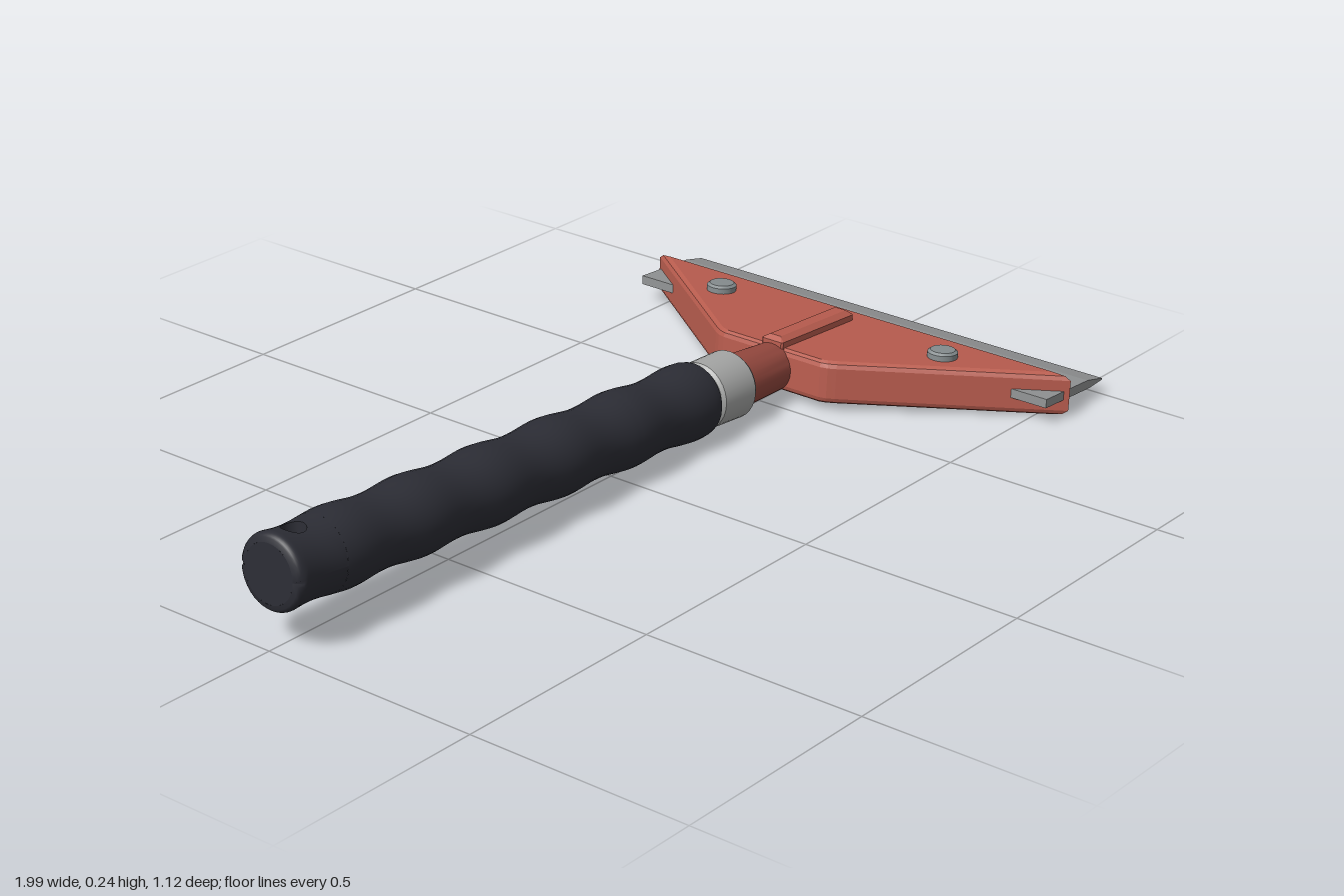
import * as THREE from 'three';
import { ConvexGeometry } from 'three/addons/geometries/ConvexGeometry.js';
import { toCreasedNormals } from 'three/addons/utils/BufferGeometryUtils.js';

const material = (name, color, side = THREE.FrontSide) => {
  const m = new THREE.MeshStandardMaterial({ color, side });
  m.name = name;
  return m;
};

// Grid surface; the outside is along dP/du x dP/dv
function surface(fn, nu, nv) {
  const pos = [], idx = [];
  for (let i = 0; i <= nu; i++)
    for (let j = 0; j <= nv; j++) pos.push(...fn(i / nu, j / nv));
  for (let i = 0; i < nu; i++)
    for (let j = 0; j < nv; j++) {
      const a = i * (nv + 1) + j, b = a + nv + 1;
      idx.push(a, b, b + 1, a, b + 1, a + 1);
    }
  const g = new THREE.BufferGeometry();
  g.setAttribute('position', new THREE.Float32BufferAttribute(pos, 3));
  g.setIndex(idx);
  g.computeVertexNormals();
  return g;
}

// Lathe around the x axis from [x, radius] pairs
function latheX(pairs, segments = 24) {
  const g = new THREE.LatheGeometry(pairs.map(([x, r]) => new THREE.Vector2(r, x)), segments);
  return toCreasedNormals(g.rotateZ(-Math.PI / 2), 0.6);
}

// Solid hull from outlines [x, z] placed at heights y, mirrored in z
function hull(layers) {
  const pts = [];
  for (const [y, outline] of layers)
    for (const [x, z] of outline)
      pts.push(new THREE.Vector3(x, y, z), new THREE.Vector3(x, y, -z));
  return new ConvexGeometry(pts);
}

// Grip radius along its length: soft ridges and rounded ends
const GRIP_START = -0.995, GRIP_END = 0.28, ROUND = 0.02;
function gripRadius(x) {
  const r = 0.08 + 0.004 * Math.cos((2 * Math.PI * (x + 0.82)) / 0.21);
  const d = Math.min(x - GRIP_START, GRIP_END - x, ROUND);
  return r - ROUND + Math.sqrt(Math.max(0, ROUND ** 2 - (ROUND - d) ** 2));
}

export function createModel() {
  const model = new THREE.Group();
  model.name = 'scraper';
  const tool = new THREE.Group();
  tool.name = 'tiltedTool';
  tool.position.y = 0.103;
  tool.rotation.z = -0.06;
  model.add(tool);

  const rubber = material('dark rubber', 0x2c2d35, THREE.DoubleSide);
  const red = material('red paint', 0xb85c4e);
  const darkRed = material('dark red paint', 0x96493f);
  const steel = material('blade steel', 0x909293);
  const rivetSteel = material('rivet steel', 0x868d8f);
  const collarGrey = material('collar grey', 0xa6a7a6);

  const add = (name, geometry, mat) => {
    const mesh = new THREE.Mesh(geometry, mat);
    mesh.name = name;
    tool.add(mesh);
    return mesh;
  };

  // Grip: long ridged part
  const HOLE_X = -0.93, HOLE_R = 0.025, HALF = HOLE_X - GRIP_START;
  const profile = [];
  for (let i = 0; i <= 96; i++) {
    const x = HOLE_X + HALF + ((GRIP_END - HOLE_X - HALF) * i) / 96;
    profile.push([x, gripRadius(x)]);
  }
  profile.push([GRIP_END, 0]);
  add('grip', latheX(profile, 32), rubber);

  // Grip end: round surface spread between the hanging hole and its border
  const endPoint = (u, v) => {
    const t = u * Math.PI * 2, c = Math.cos(t), s = Math.sin(t);
    const m = Math.max(Math.abs(c), Math.abs(s));
    const hx = HOLE_X + HOLE_R * c;
    const ha = Math.asin((HOLE_R * s) / gripRadius(hx));
    const x = hx + (HOLE_X + (HALF * c) / m - hx) * v;
    const a = ha + ((s / m) * (Math.PI / 2) - ha) * v;
    const r = gripRadius(x);
    return [x, r * Math.cos(a), r * Math.sin(a)];
  };
  add('gripEndTop', surface(endPoint, 64, 16), rubber);
  add('gripEndBottom', surface((u, v) => {
    const [x, y, z] = endPoint(1 - u, v);
    return [x, -y, z];
  }, 64, 16), rubber);
  add('hangingHoleWall', surface((u, v) => {
    const [x, y, z] = endPoint(u, 0);
    return [x, y * (2 * v - 1), z];
  }, 64, 1), rubber);
  const cap = new THREE.CircleGeometry(gripRadius(GRIP_START), 32).rotateY(-Math.PI / 2);
  add('gripEndCap', cap, rubber).position.x = GRIP_START;

  // Collar and neck
  add('collar', latheX([[0.285, 0], [0.285, 0.066], [0.292, 0.073], [0.39, 0.075],
    [0.4, 0.068], [0.4, 0]], 32), collarGrey);
  add('neck', latheX([[0.26, 0.06], [0.4, 0.06], [0.56, 0.053], [0.56, 0]], 32), darkRed);

  // Head: bevelled trapezoid
  const outer = [[0.54, 0.13], [0.545, 0.147], [0.555, 0.163], [0.855, 0.56]];
  const inner = [[0.55, 0.126], [0.555, 0.14], [0.565, 0.156], [0.843, 0.522]];
  const middle = [[0.543, 0.129], [0.548, 0.145], [0.558, 0.161], [0.851, 0.548]];
  add('head', hull([[-0.048, inner], [-0.043, middle], [-0.034, outer],
    [0.034, outer], [0.043, middle], [0.048, inner]]), red);

  // Raised rib on the head
  const ribBase = [[0.54, 0.024], [0.544, 0.028], [0.796, 0.028], [0.8, 0.024]];
  const ribTop = [[0.552, 0.014], [0.788, 0.014]];
  add('rib', hull([[0.035, ribBase], [0.061, ribBase], [0.07, ribTop]]), red);

  // Blade with a single ground edge
  const section = new THREE.Shape([[0.78, -0.01], [0.95, -0.01], [1.0, -0.004],
    [0.998, 0], [0.94, 0.01], [0.78, 0.01]].map(([x, y]) => new THREE.Vector2(x, y)));
  const blade = new THREE.ExtrudeGeometry(section, { depth: 1.1, bevelEnabled: false });
  add('blade', blade.translate(0, 0, -0.55), steel);

  // Rivets
  for (const side of [-1, 1]) {
    const rivet = new THREE.LatheGeometry([[0.033, 0.04], [0.033, 0.06], [0.027, 0.065],
      [0, 0.066]].map(([r, y]) => new THREE.Vector2(r, y)), 24);
    add(side > 0 ? 'frontRivet' : 'backRivet', toCreasedNormals(rivet, 0.5), rivetSteel)
      .position.set(0.75, 0, side * 0.3);
  }
  return model;
}
